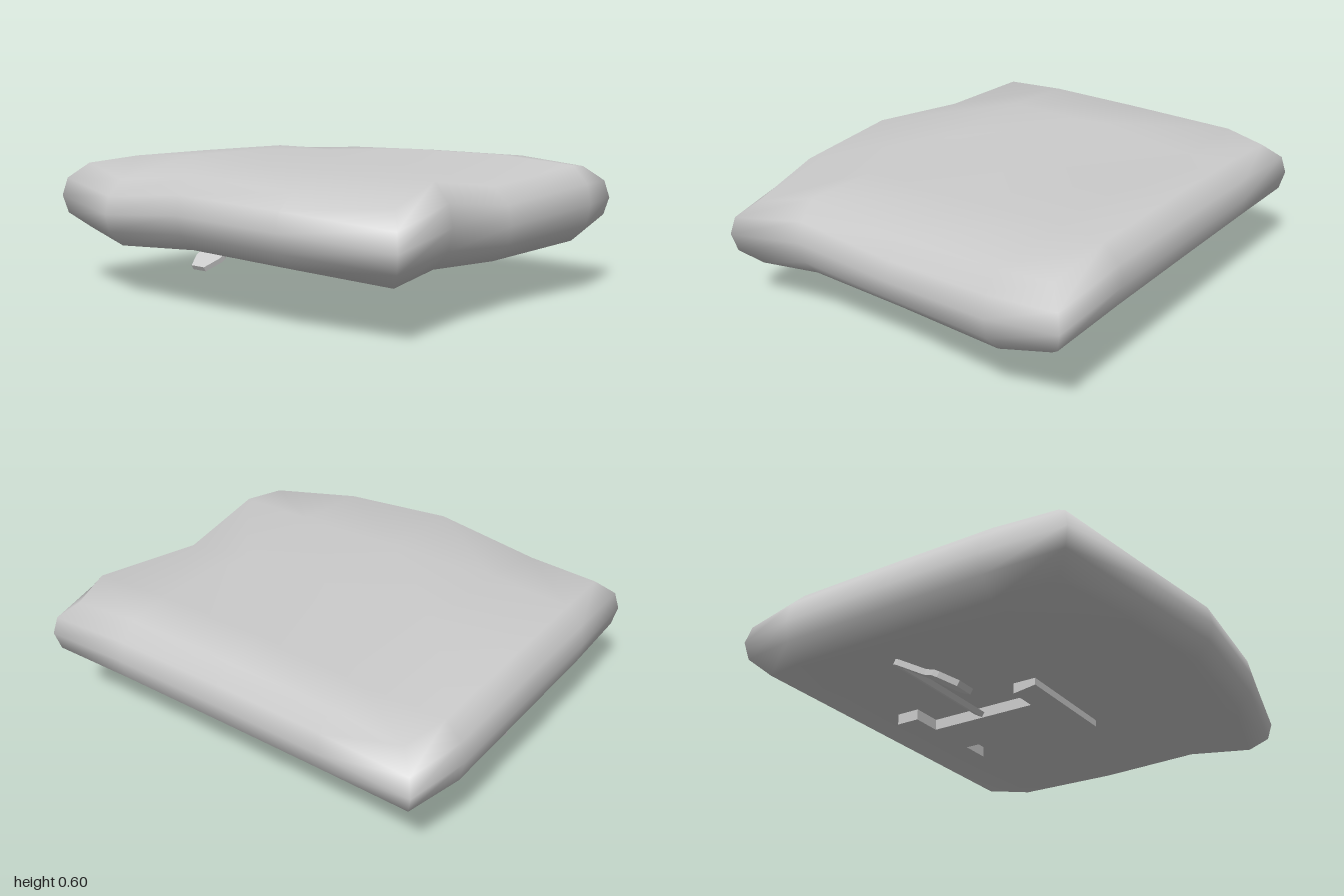
import * as THREE from 'three';

const material = () => new THREE.MeshStandardMaterial({ color: 0xcccccc });

function addMesh(group, name, geometry) {
  const mesh = new THREE.Mesh(geometry, material());
  mesh.name = name;
  group.add(mesh);
  return mesh;
}

const polygon = (points) => new THREE.Shape(points.map(([x, y]) => new THREE.Vector2(x, y)));

// Soft pad: a 5 x 5 grid above and below, joined by a rounded rim.
// Rows run from back to front, columns from -x to +x.
function cushionGeometry() {
  const leftX = [-0.95, -1, -1, -1, -0.99];
  const rightX = [0.92, 0.985, 0.925, 0.955, 0.995];
  const innerX = [-0.53, -0.02, 0.5];
  const rowZ = [-0.9, -0.61, -0.08, 0.37];
  const frontZ = [0.75, 0.855, 0.89, 0.855, 0.75];
  const top = [
    [0.55, 0.57, 0.58, 0.58, 0.55],
    [0.57, 0.565, 0.597, 0.597, 0.57],
    [0.575, 0.597, 0.575, 0.57, 0.515],
    [0.575, 0.597, 0.58, 0.575, 0.575],
    [0.56, 0.515, 0.565, 0.54, 0.5],
  ];
  const bottom = [
    [0.26, 0.26, 0.26, 0.26, 0.26],
    [0.24, 0.24, 0.24, 0.24, 0.235],
    [0.245, 0.24, 0.24, 0.24, 0.205],
    [0.25, 0.24, 0.235, 0.235, 0.235],
    [0.26, 0.225, 0.265, 0.245, 0.21],
  ];
  // Rim section from bottom to top: [height fraction, inset]
  const rim = [[0, 0.09], [0.23, 0.018], [0.5, 0], [0.77, 0.018], [1, 0.09]];
  const last = rim.length - 1;

  const positions = [], index = [], known = new Map();
  const inward = (k) => (k === 0 ? 1 : k === 4 ? -1 : 0);
  function vertex(i, j, level) {
    const key = `${i},${j},${level}`;
    if (!known.has(key)) {
      const [f, inset] = rim[level];
      const x = j === 0 ? leftX[i] : j === 4 ? rightX[i] : innerX[j - 1];
      const z = i === 4 ? frontZ[j] : rowZ[i];
      known.set(key, positions.length / 3);
      positions.push(
        x + inward(j) * inset,
        THREE.MathUtils.lerp(bottom[i][j], top[i][j], f),
        z + inward(i) * inset);
    }
    return known.get(key);
  }
  const quad = (a, b, c, d) => index.push(a, b, c, a, c, d);

  // Upper and lower faces
  for (let i = 0; i < 4; i++) {
    for (let j = 0; j < 4; j++) {
      quad(vertex(i, j, last), vertex(i + 1, j, last), vertex(i + 1, j + 1, last), vertex(i, j + 1, last));
      quad(vertex(i, j, 0), vertex(i, j + 1, 0), vertex(i + 1, j + 1, 0), vertex(i + 1, j, 0));
    }
  }

  // Rim, walked along front, +x side, back and -x side
  const ring = [];
  for (let k = 0; k < 4; k++) ring.push([4, k]);
  for (let k = 0; k < 4; k++) ring.push([4 - k, 4]);
  for (let k = 0; k < 4; k++) ring.push([0, 4 - k]);
  for (let k = 0; k < 4; k++) ring.push([k, 0]);
  ring.forEach((p, k) => {
    const q = ring[(k + 1) % ring.length];
    for (let l = 0; l < last; l++) {
      quad(vertex(...p, l), vertex(...q, l), vertex(...q, l + 1), vertex(...p, l + 1));
    }
  });

  const geometry = new THREE.BufferGeometry();
  geometry.setAttribute('position', new THREE.Float32BufferAttribute(positions, 3));
  geometry.setIndex(index);
  geometry.computeVertexNormals();
  return geometry;
}

// H-shaped mounting plate with its front edge chamfered
function bracketGeometry() {
  const half = [[0.265, -0.17], [0.265, -0.06], [0.125, -0.06], [0.125, 0.46], [0.265, 0.46], [0.265, 0.57]];
  const mirrored = half.map(([x, y]) => [-x, y]).reverse();
  const geometry = new THREE.ExtrudeGeometry(polygon([...half, ...mirrored]), { depth: 0.06, bevelEnabled: false });
  geometry.rotateX(-Math.PI / 2);
  geometry.translate(-0.015, 0.19, 0);
  const p = geometry.attributes.position;
  for (let i = 0; i < p.count; i++) {
    if (p.getZ(i) > 0.1 && p.getY(i) < 0.2) p.setY(i, 0.205);
  }
  geometry.computeVertexNormals();
  return geometry;
}

// Flat bent lever: sideways rod, elbow, neck and paddle
function leverGeometry() {
  const outline = [
    [-0.13, 0], [-0.72, 0], [-0.75, -0.015], [-0.765, -0.05], [-0.77, -0.22], [-0.83, -0.32],
    [-0.83, -0.35], [-0.79, -0.43], [-0.7, -0.43], [-0.66, -0.35], [-0.66, -0.32],
    [-0.72, -0.22], [-0.735, -0.07], [-0.72, -0.045], [-0.13, -0.045],
  ];
  return new THREE.ExtrudeGeometry(polygon(outline), { depth: 0.025, bevelEnabled: false });
}

export function createModel() {
  const group = new THREE.Group();
  group.name = 'seatCushion';
  addMesh(group, 'cushion', cushionGeometry());
  addMesh(group, 'mountingBracket', bracketGeometry());
  const lever = addMesh(group, 'adjustmentLever', leverGeometry());
  lever.rotation.x = -Math.PI / 3;
  lever.position.set(0, 0.215, -0.24);
  return group;
}
